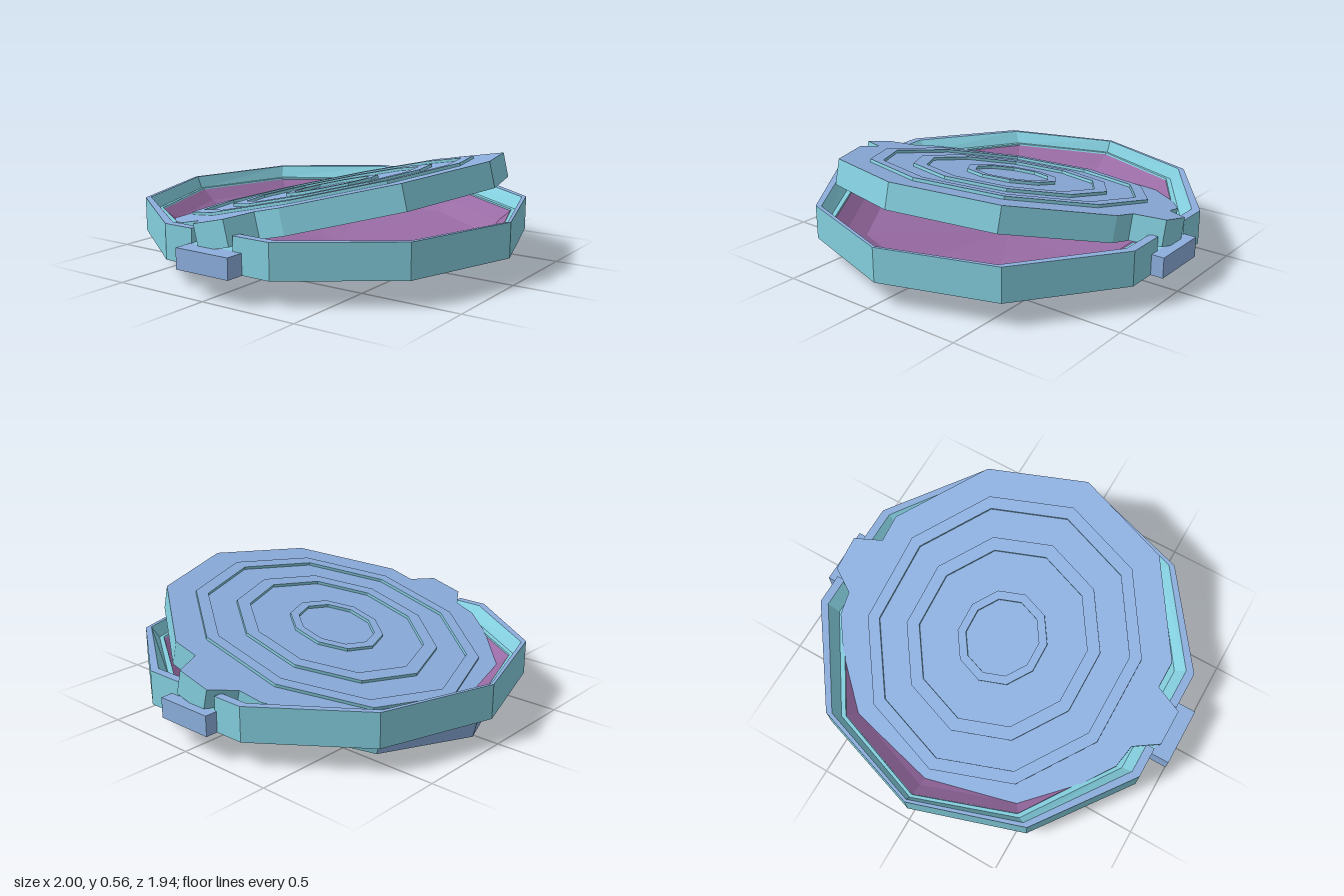
import * as THREE from 'three';
import { mergeGeometries } from 'three/addons/utils/BufferGeometryUtils.js';

const V = (x, y, z) => new THREE.Vector3(x, y, z);
const material = (name, color) =>
  Object.assign(new THREE.MeshStandardMaterial({ color, side: THREE.DoubleSide }), { name });

// Ten-sided loop with a corner facing the front
function loop(rx, rz, y) {
  return Array.from({ length: 11 }, (_, k) => {
    const a = (k % 10) * Math.PI / 5;
    return V(rx * Math.sin(a), y, rz * Math.cos(a));
  });
}

// Front or back part of a ten-sided loop, cut off straight at z = cut
function arc(rx, rz, y, cut) {
  const s = Math.sign(cut), x = s * rx * Math.sin(Math.PI * 0.4);
  const corners = [-2, -1, 0, 1, 2].map(k =>
    V(s * rx * Math.sin(k * Math.PI / 5), y, s * rz * Math.cos(k * Math.PI / 5)));
  return [V(-x, y, cut), ...corners, V(x, y, cut)];
}

// Flat quads between two rows of points
function strip(a, b) {
  const p = [];
  for (let i = 0; i < a.length - 1; i++) {
    for (const v of [a[i], a[i + 1], b[i + 1], a[i], b[i + 1], b[i]]) p.push(v.x, v.y, v.z);
  }
  const g = new THREE.BufferGeometry();
  g.setAttribute('position', new THREE.Float32BufferAttribute(p, 3));
  g.computeVertexNormals();
  return g;
}

const strips = rows => mergeGeometries(rows.slice(1).map((r, i) => strip(rows[i], r)));

// Flat plate from an outline of [x, z] points, facing up or down
function plate(points, y, up) {
  const s = up ? -1 : 1;
  const shape = new THREE.Shape(points.map(([x, z]) => new THREE.Vector2(x, s * z)));
  return new THREE.ShapeGeometry(shape).rotateX(s * Math.PI / 2).translate(0, y, 0);
}

export function createModel() {
  const blue = material('blue', 0x8caedd);
  const teal = material('teal', 0x84cfdf);
  const purple = material('purple', 0x996ba4);

  const model = new THREE.Group();
  const add = (parent, name, geometry, mat) => {
    const mesh = new THREE.Mesh(geometry, mat);
    mesh.name = name;
    parent.add(mesh);
  };

  // Housing ring: full lower wall, with the upper rim notched at both sides
  const housing = new THREE.Group();
  housing.name = 'housing';
  housing.position.x = 0.015;
  model.add(housing);
  add(housing, 'lowerWall', strip(loop(0.97, 0.97, 0.13), loop(0.97, 0.97, 0.23)), teal);
  add(housing, 'ledgeFloor', strip(loop(0.97, 0.97, 0.23), loop(0.84, 0.91, 0.23)), teal);
  for (const [name, cut] of [['front', 0.1], ['back', -0.14]]) {
    const rows = [[0.97, 0.97, 0.23], [0.97, 0.97, 0.3], [0.925, 0.955, 0.3],
      [0.87, 0.93, 0.24], [0.84, 0.915, 0.24], [0.84, 0.91, 0.23]].map(r => arc(...r, cut));
    add(housing, name + 'UpperWall', strip(rows[0], rows[1]), teal);
    add(housing, name + 'Rim', strip(rows[1], rows[2]), blue);
    add(housing, name + 'InnerWall', strips(rows.slice(2)), teal);
    const caps = [0, 6].map(i =>
      strip([rows[0][i], rows[3][i]], [rows[1][i], rows[2][i]]));
    add(housing, name + 'NotchEnds', mergeGeometries(caps), teal);
  }

  // Shallow bowl hung inside the housing
  const bowl = [[1, 0.232], [0.93, 0.18], [0.83, 0.13], [0.001, 0.055]];
  add(housing, 'bowl', strips(bowl.map(([s, y]) => loop(0.84 * s, 0.91 * s, y))), purple);

  // Side tabs
  for (const s of [1, -1]) {
    add(model, s > 0 ? 'leftTab' : 'rightTab',
      new THREE.BoxGeometry(0.1, 0.1, 0.3).translate(s * 0.95, 0.18, 0), blue);
  }

  // Tilted lid with pivot arms
  const lid = new THREE.Group();
  lid.name = 'lid';
  lid.position.set(0.015, 0.35, -0.025);
  lid.rotation.x = -0.245;
  model.add(lid);

  const side = [[0.495, 0.733], [0.8, 0.29], [0.8, 0.15], [0.94, 0.09], [0.94, 0],
    [0.94, -0.09], [0.82, -0.17], [0.8, -0.29], [0.495, -0.733]];
  const outline = [[0, 0.905], ...side, [0, -0.905],
    ...side.map(([x, z]) => [-x, z]).reverse()];
  const thickness = 0.125;
  const edge = y => [...outline, outline[0]].map(([x, z]) => V(x, y, z));
  const low = edge(-thickness), high = edge(0);
  const wall = (from, to) => strip(low.slice(from, to + 1), high.slice(from, to + 1));

  add(lid, 'lidTop', plate(outline, 0, true), blue);
  add(lid, 'lidFrontUnderside', plate(outline.filter(p => p[1] >= 0), -thickness, false), purple);
  add(lid, 'lidBackUnderside', plate(outline.filter(p => p[1] <= 0), -thickness, false), teal);
  add(lid, 'lidSideWall', mergeGeometries([wall(0, 9), wall(11, 20)]), teal);
  add(lid, 'lidBackWall', wall(9, 11), blue);

  // Raised concentric bands on the lid
  [[0.75, 0.685], [0.53, 0.46], [0.245, 0.2]].forEach(([outer, inner], i) => {
    const h = 0.015, k = 0.93;
    const rows = [loop(outer * k, outer, 0), loop(outer * k, outer, h),
      loop(inner * k, inner, h), loop(inner * k, inner, 0)];
    add(lid, 'bandTop' + (i + 1), strip(rows[1], rows[2]), blue);
    add(lid, 'bandWalls' + (i + 1),
      mergeGeometries([strip(rows[0], rows[1]), strip(rows[2], rows[3])]), teal);
  });

  return model;
}
